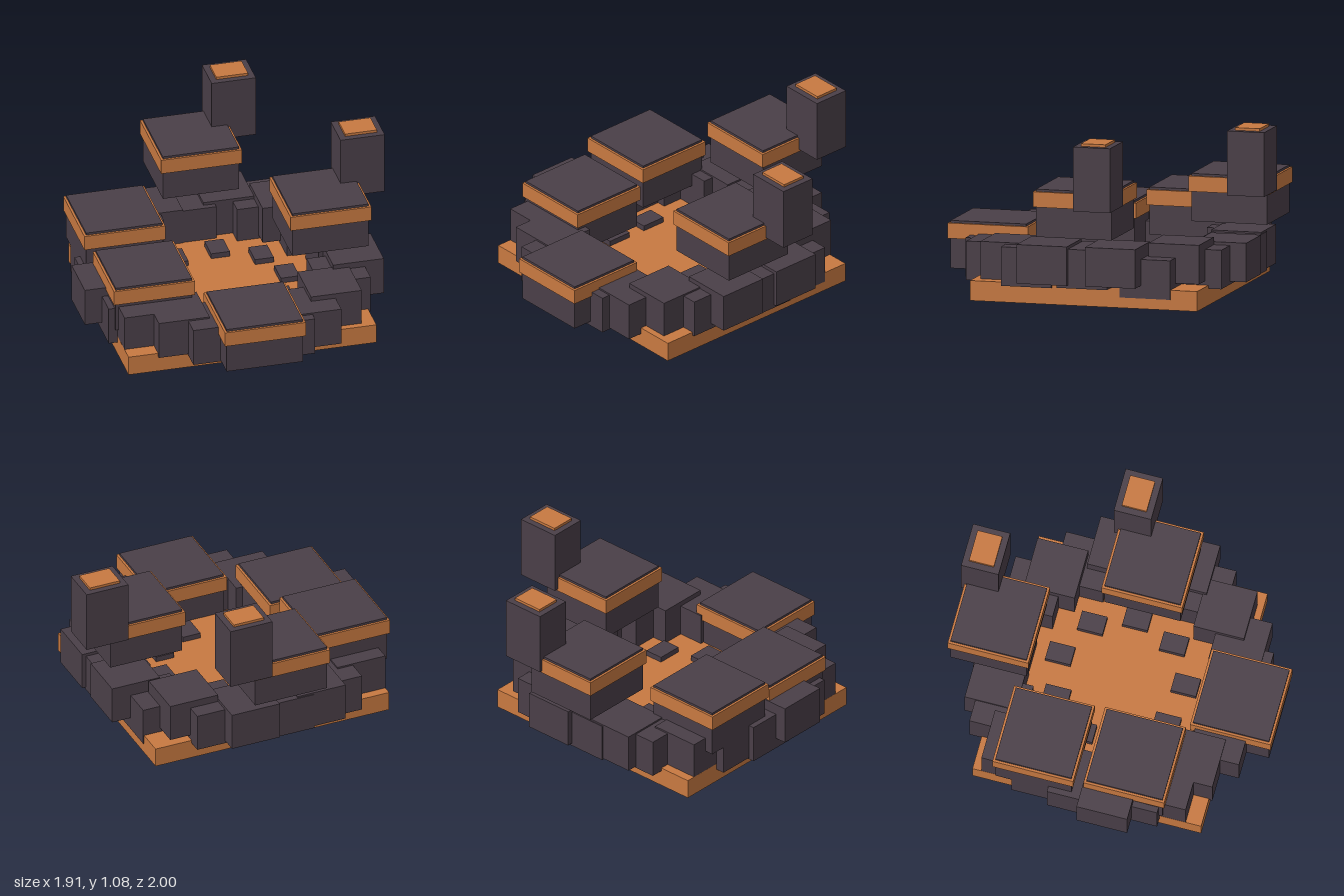
import * as THREE from 'three';

const clay = new THREE.MeshStandardMaterial({ color: 0xc87941 });
clay.name = 'clayOrange';
const slate = new THREE.MeshStandardMaterial({ color: 0x4a3f48 });
slate.name = 'slateDark';

// Box given by centre x, z, bottom and top height, and footprint
function block(parent, name, material, x, z, y0, y1, w, d) {
  const mesh = new THREE.Mesh(new THREE.BoxGeometry(w, y1 - y0, d), material);
  mesh.position.set(x, (y0 + y1) / 2, z);
  mesh.name = name;
  parent.add(mesh);
}

function group(parent, name) {
  const g = new THREE.Group();
  g.name = name;
  parent.add(g);
  return g;
}

// Hall: dark body, wide eave band and a thin inset roof
function addHall(parent, name, x, z, y) {
  const g = group(parent, name);
  block(g, 'hallBody', slate, x, z, y, y + 0.18, 0.466, 0.466);
  block(g, 'eaveBand', clay, x, z, y + 0.18, y + 0.272, 0.494, 0.494);
  block(g, 'roofSlab', slate, x, z, y + 0.272, y + 0.286, 0.466, 0.466);
}

// Tower block with a thin clay lid
function addTower(parent, name, x, z, y) {
  const g = group(parent, name);
  block(g, 'towerBody', slate, x, z, y, y + 0.386, 0.27, 0.228);
  block(g, 'towerLid', clay, x, z, y + 0.386, y + 0.402, 0.194, 0.152);
}

export function createModel() {
  const model = new THREE.Group();
  model.name = 'ringFort';
  const cx = -0.038, cz = 0.01;

  block(model, 'basePlate', clay, cx, cz, 0.03, 0.15, 1.515, 1.4);

  // Nine pegs through the plate
  const pegs = group(model, 'pegs');
  for (let i = 0; i < 9; i++) {
    const a = (i / 9) * Math.PI * 2;
    block(pegs, 'peg', slate, cx + 0.394 * Math.cos(a), cz + 0.39 * Math.sin(a), 0, 0.183, 0.115, 0.155);
  }

  // Uneven ring wall: [x, z, bottom] of each block
  const wall = group(model, 'ringWall');
  const stones = [
    [0.67, -0.01, 0.15], [0.695, 0.23, 0.168], [0.58, 0.36, 0.13], [0.485, 0.515, 0.14],
    [0.325, 0.65, 0.11], [0.15, 0.705, 0.1], [-0.09, 0.69, 0.12], [-0.28, 0.69, 0.12],
    [-0.46, 0.575, 0.13], [-0.64, 0.46, 0.13], [-0.695, 0.3, 0.11], [-0.8, 0.145, 0.167],
    [-0.73, -0.055, 0.1], [-0.695, -0.28, 0.11], [-0.64, -0.48, 0.14], [-0.43, -0.61, 0.13],
    [-0.295, -0.675, 0.14], [-0.09, -0.68, 0.13], [0.15, -0.715, 0.148], [0.33, -0.615, 0.13],
    [0.46, -0.515, 0.175], [0.57, -0.37, 0.093], [0.69, -0.19, 0.17],
  ];
  for (const [x, z, y] of stones) block(wall, 'wallBlock', slate, x, z, y, y + 0.234, 0.31, 0.31);

  // Halls rising in a spiral
  addHall(model, 'frontHall', -0.035, 0.751, 0.128);
  addHall(model, 'frontRightHall', -0.58, 0.245, 0.207);
  addHall(model, 'backRightHall', -0.617, -0.302, 0.285);
  addHall(model, 'backHall', -0.035, -0.733, 0.48);
  addHall(model, 'leftHall', 0.55, 0.052, 0.442);

  addTower(model, 'backTower', 0.237, -0.886, 0.675);
  addTower(model, 'leftTower', 0.82, -0.108, 0.635);
  return model;
}
